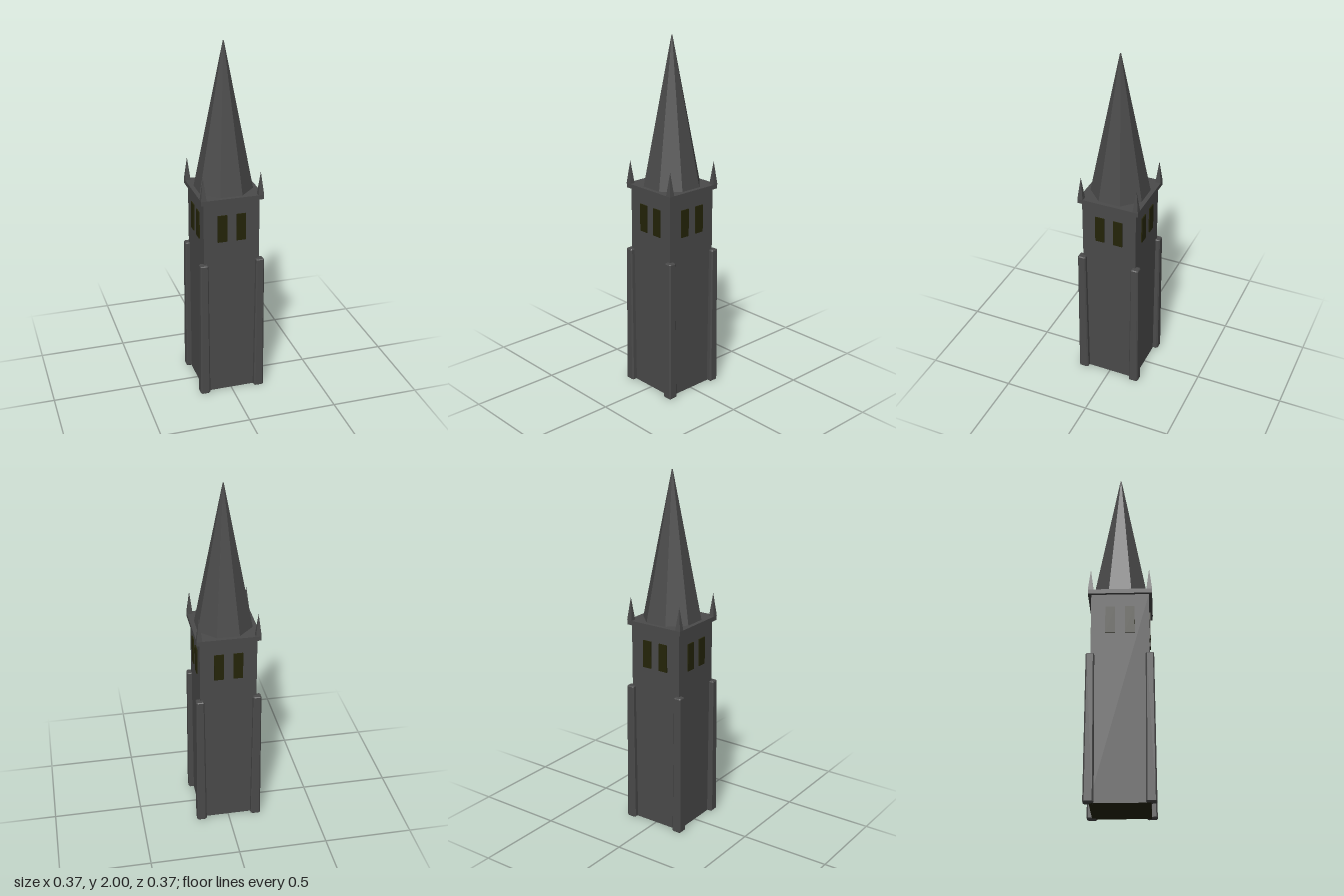
import * as THREE from 'three';

const stone = new THREE.MeshStandardMaterial({ color: 0x4a4a4a, flatShading: true });
stone.name = 'darkStone';
const dark = new THREE.MeshStandardMaterial({ color: 0x242408, flatShading: true });
dark.name = 'darkOlive';

const CORNERS = [[1, 1], [1, -1], [-1, -1], [-1, 1]];

export function createModel() {
  const model = new THREE.Group();

  function add(name, geometry, material, x = 0, y = 0, z = 0, parent = model) {
    const mesh = new THREE.Mesh(geometry, material);
    mesh.name = name;
    mesh.position.set(x, y, z);
    parent.add(mesh);
    return mesh;
  }
  const box = (w, h, d) => new THREE.BoxGeometry(w, h, d);

  // Square tower shaft with a dark underside, and the cornice on top
  const shaftMaterials = [stone, stone, stone, dark, stone, stone];
  add('shaft', box(0.314, 1.165, 0.314), shaftMaterials, 0, 0.5825, 0);
  add('cornice', box(0.35, 0.025, 0.35), stone, 0, 1.1775, 0);

  // Eight-sided spire with flat sides facing front, back, left and right
  const spire = new THREE.CylinderGeometry(0.003, 0.163, 0.81, 8);
  spire.rotateY(Math.PI / 8);
  add('spire', spire, stone, 0, 1.595, 0);

  // Chamfered buttress, tapering towards the top
  const half = 0.028, cut = 0.005, bevel = 0.005, height = 0.81;
  const a = half - bevel, b = a - cut;
  const outline = new THREE.Shape([
    [a, -b], [a, b], [b, a], [-b, a], [-a, b], [-a, -b], [-b, -a], [b, -a],
  ].map(([x, y]) => new THREE.Vector2(x, y)));
  const buttress = new THREE.ExtrudeGeometry(outline, {
    depth: height - 2 * bevel, bevelThickness: bevel, bevelSize: bevel, bevelSegments: 1,
  });
  buttress.translate(0, 0, bevel).rotateX(-Math.PI / 2);
  const p = buttress.attributes.position;
  for (let i = 0; i < p.count; i++) {
    const s = 1 - 0.2 * p.getY(i) / height;
    p.setX(i, p.getX(i) * s);
    p.setZ(i, p.getZ(i) * s);
  }
  buttress.computeVertexNormals();

  // Four-sided corner pinnacle
  const pinnacle = new THREE.ConeGeometry(0.0155 * Math.SQRT2, 0.13, 4);
  pinnacle.rotateY(Math.PI / 4);

  for (const [sx, sz] of CORNERS) {
    add('buttress', buttress, stone, sx * 0.159, 0, sz * 0.159);
    add('pinnacle', pinnacle, stone, sx * 0.16, 1.255, sz * 0.16);
  }

  // Pair of belfry windows on each side
  const windowPane = box(0.053, 0.155, 0.008);
  for (let i = 0; i < 4; i++) {
    const side = new THREE.Group();
    side.name = 'belfryWindows';
    side.rotation.y = i * Math.PI / 2;
    for (const x of [-0.053, 0.053]) add('window', windowPane, dark, x, 1.0125, 0.159, side);
    model.add(side);
  }
  return model;
}
